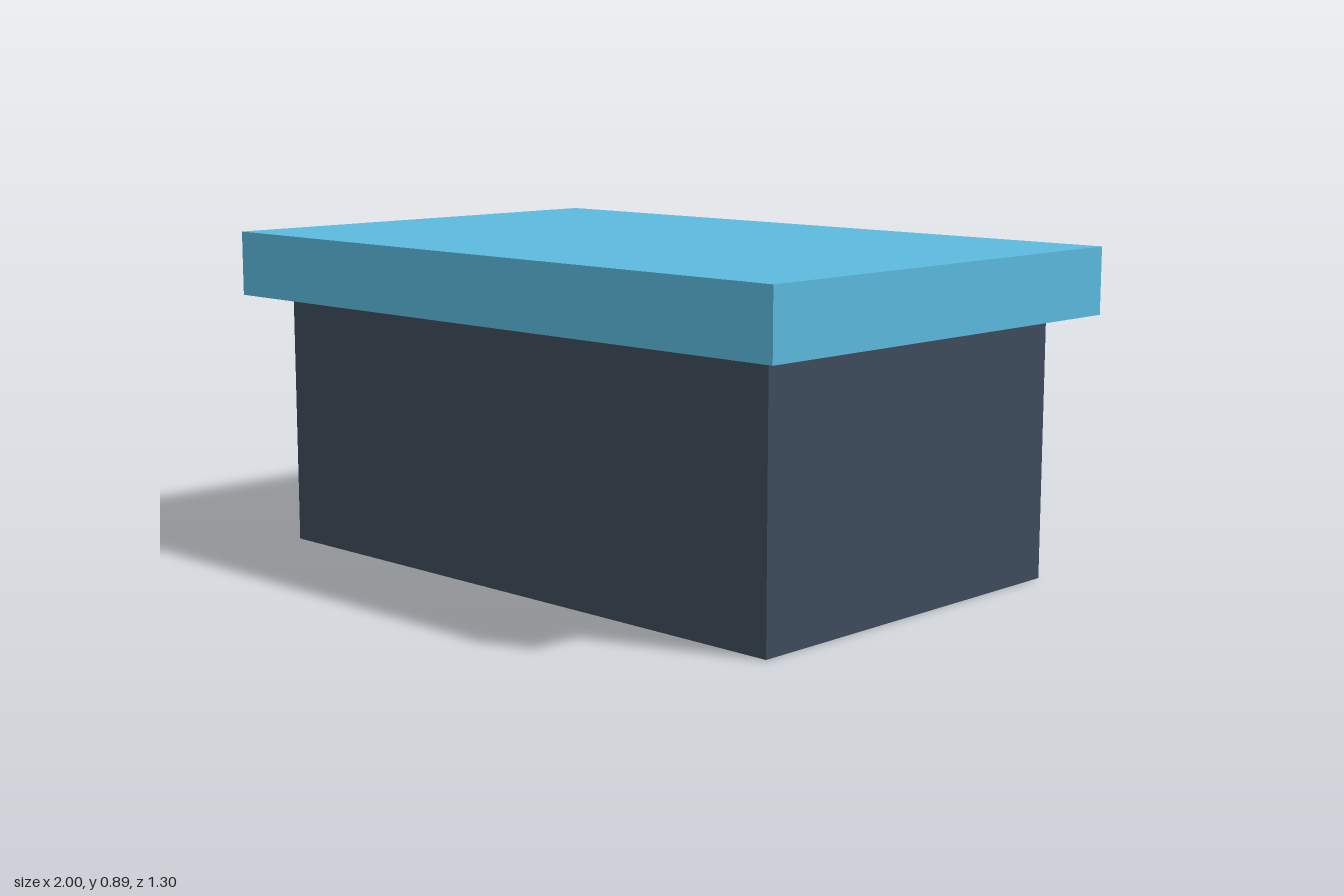
import * as THREE from 'three';

// Box resting on height y
function block(name, width, height, depth, y, color) {
  const mesh = new THREE.Mesh(
    new THREE.BoxGeometry(width, height, depth),
    new THREE.MeshStandardMaterial({ color })
  );
  mesh.name = name;
  mesh.position.y = y + height / 2;
  return mesh;
}

export function createModel() {
  const model = new THREE.Group();
  model.name = 'counter';
  const baseHeight = 0.71;

  // Dark base with an overhanging slab on top
  model.add(block('base', 1.8, baseHeight, 1.1, 0, 0x3d4b5b));
  model.add(block('topSlab', 2, 0.18, 1.3, baseHeight, 0x5bb9de));
  return model;
}
